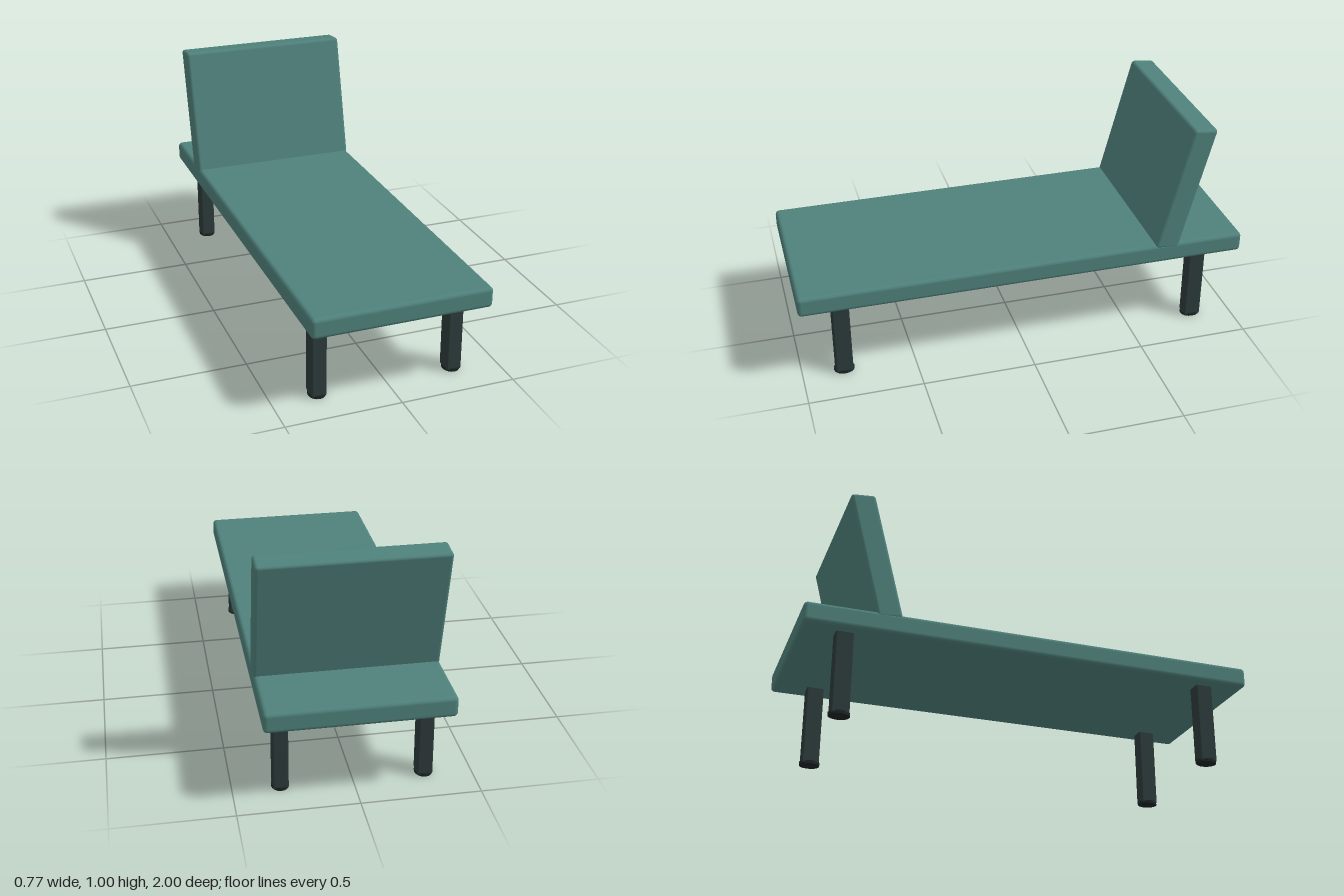
import * as THREE from 'three';
import { RoundedBoxGeometry } from 'three/addons/geometries/RoundedBoxGeometry.js';

export function createModel() {
  const upholstery = new THREE.MeshStandardMaterial({ color: 0x4f817b });
  upholstery.name = 'teal upholstery';
  const legPaint = new THREE.MeshStandardMaterial({ color: 0x2c3a3a });
  legPaint.name = 'dark leg paint';
  const rubber = new THREE.MeshStandardMaterial({ color: 0x1d2424 });
  rubber.name = 'black rubber';

  const model = new THREE.Group();
  model.name = 'daybed';

  function add(parent, name, geometry, material, x, y, z) {
    const mesh = new THREE.Mesh(geometry, material);
    mesh.name = name;
    mesh.position.set(x, y, z);
    parent.add(mesh);
    return mesh;
  }

  // Long flat mattress
  add(model, 'seat', new RoundedBoxGeometry(0.774, 0.09, 2, 3, 0.018), upholstery, 0, 0.405, 0);

  // Backrest leaning to the rear, its top sloping gently down behind
  const back = new RoundedBoxGeometry(0.774, 0.566, 0.107, 3, 0.014);
  back.applyMatrix4(new THREE.Matrix4().set(
    1, 0, 0, 0,
    0, 1, 0.1, 0,
    0, -0.255, 1, 0,
    0, 0, 0, 1
  ));
  add(model, 'backrest', back, upholstery, 0, 0.713, -0.712);

  // Four square legs with slightly eased edges, each on a round foot
  const legGeometry = new RoundedBoxGeometry(0.064, 0.37, 0.075, 2, 0.006);
  const footGeometry = new THREE.CylinderGeometry(0.0375, 0.0375, 0.014, 16);
  footGeometry.scale(1, 1, 1.2);
  for (const sx of [1, -1]) {
    for (const sz of [1, -1]) {
      const leg = new THREE.Group();
      leg.name = (sz > 0 ? 'front' : 'back') + (sx > 0 ? 'Left' : 'Right') + 'Leg';
      leg.position.set(sx * 0.301, 0, sz * 0.816);
      add(leg, 'post', legGeometry, legPaint, 0, 0.19, 0);
      add(leg, 'foot', footGeometry, rubber, 0, 0.007, 0);
      model.add(leg);
    }
  }

  return model;
}
